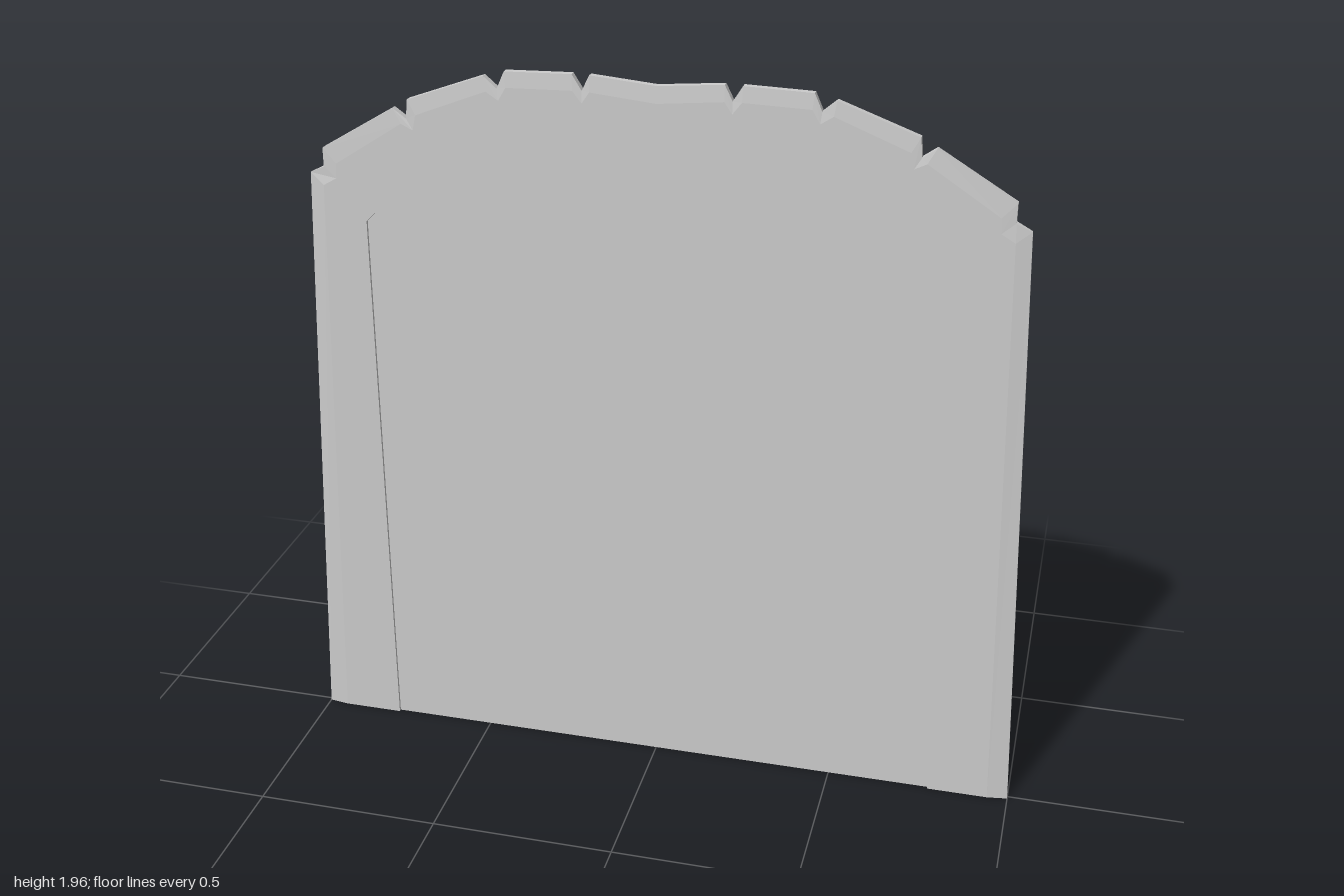
import * as THREE from 'three';

// Right half of the frame, bottom to top centre: outer x, y, inner x, y
const HALF = [
  [1, 0, 0.78, 0], [0.93, 1.65, 0.78, 1.53],
  [0.89, 1.67, 0.755, 1.555], [0.89, 1.72, 0.745, 1.565],
  [0.69, 1.84, 0.605, 1.685], [0.655, 1.815, 0.585, 1.7], [0.65, 1.865, 0.565, 1.71],
  [0.445, 1.94, 0.42, 1.785], [0.41, 1.91, 0.395, 1.79], [0.39, 1.955, 0.375, 1.792],
  [0.215, 1.96, 0.21, 1.796], [0.19, 1.92, 0.19, 1.794], [0.17, 1.96, 0.17, 1.791],
  [0, 1.945, 0, 1.77],
];
const mirrored = HALF.slice(0, -1).reverse().map(([ox, oy, ix, iy]) => [-ox, oy, -ix, iy]);
const PATH = [...HALF, ...mirrored];

// The whole slab leans back slightly
const lean = (y) => 0.005 - 0.0048 * y;

const material = () =>
  new THREE.MeshStandardMaterial({ color: 0xcccccc, flatShading: true, side: THREE.DoubleSide });

// Bevelled border lofted along the path, open at the bottom between its two feet
function frameGeometry() {
  const positions = [];
  const index = [];
  const T = 0.012;
  PATH.forEach(([ox, oy, ix, iy]) => {
    const edge = oy < 1.66 ? 0.004 : 0.009; // sides taper thinner than the top
    const bx = ox + (ix - ox) * 0.25;
    const by = oy + (iy - oy) * 0.25;
    const section = [
      [ix, iy, T], [bx, by, T], [ox, oy, edge],
      [ox, oy, -edge], [bx, by, -T], [ix, iy, -T],
    ];
    section.forEach(([x, y, z]) => positions.push(x, y, z + lean(y)));
  });
  const N = 6;
  const last = (PATH.length - 1) * N;
  for (let i = 0; i < last; i += N) {
    for (let k = 0; k < N; k++) {
      const m = (k + 1) % N;
      index.push(i + k, i + m, i + N + m, i + k, i + N + m, i + N + k);
    }
  }
  // Foot caps
  for (let k = 1; k < N - 1; k++) {
    index.push(0, k + 1, k, last, last + k, last + k + 1);
  }
  const geometry = new THREE.BufferGeometry();
  geometry.setAttribute('position', new THREE.Float32BufferAttribute(positions, 3));
  geometry.setIndex(index);
  const flat = geometry.toNonIndexed();
  flat.computeVertexNormals();
  return flat;
}

// Thin sheet filling the frame, set a little behind its front face
function panelGeometry() {
  const shape = new THREE.Shape(PATH.map(([, , ix, iy]) => new THREE.Vector2(ix, iy)));
  const geometry = new THREE.ShapeGeometry(shape);
  const p = geometry.attributes.position;
  for (let i = 0; i < p.count; i++) p.setZ(i, lean(p.getY(i)) + 0.004);
  geometry.computeVertexNormals();
  return geometry;
}

export function createModel() {
  const group = new THREE.Group();
  group.name = 'archedPanel';
  const add = (name, geometry) => {
    const mesh = new THREE.Mesh(geometry, material());
    mesh.name = name;
    group.add(mesh);
  };
  add('frame', frameGeometry());
  add('innerPanel', panelGeometry());
  return group;
}
